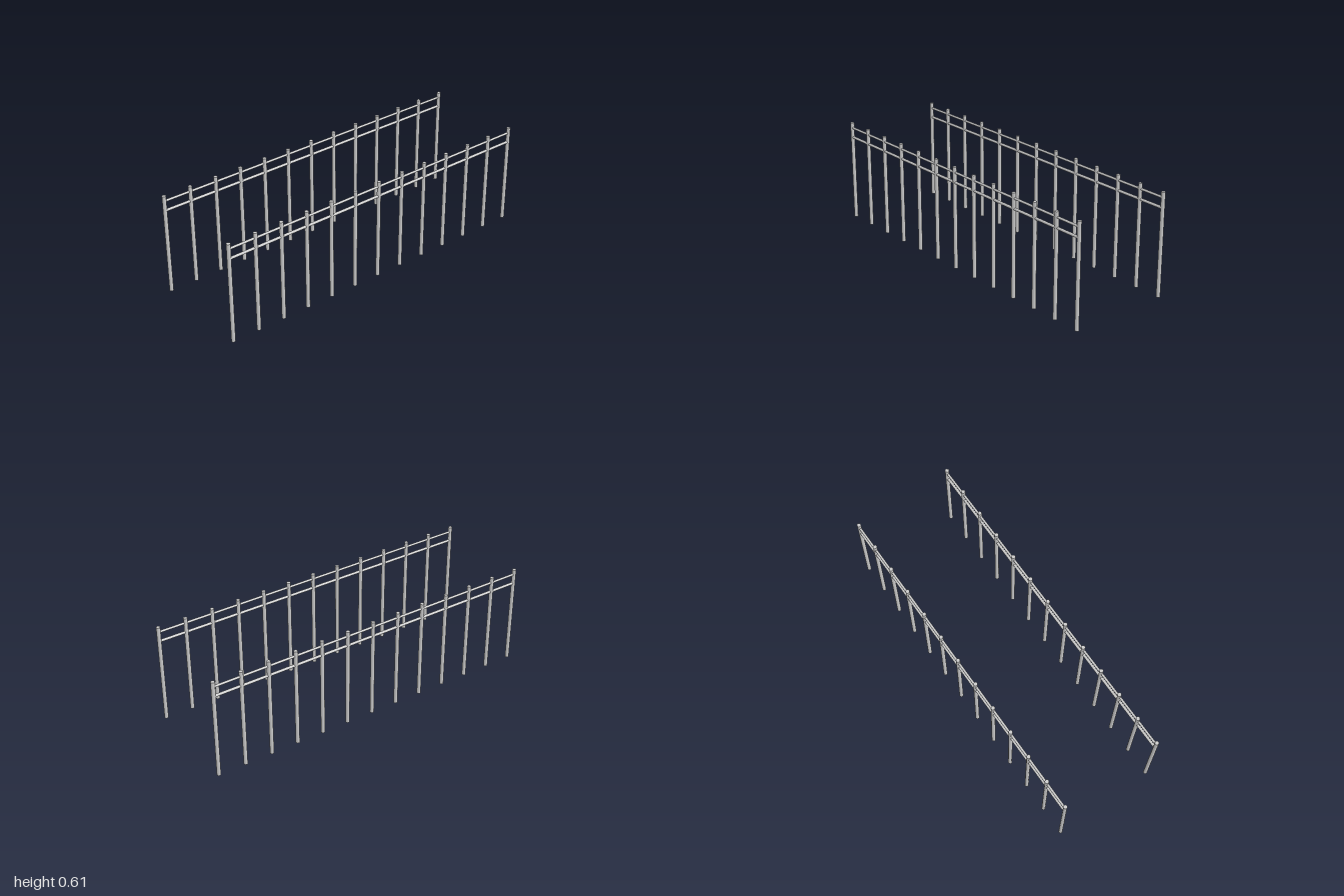
import * as THREE from 'three';

const POSTS = 13, HALF = 0.9885, ROW_Z = 0.3, HEIGHT = 0.607, POST_R = 0.0115;

export function createModel() {
  const model = new THREE.Group();
  const material = new THREE.MeshStandardMaterial({ color: 0xcccccc });

  const postGeometry = new THREE.CylinderGeometry(POST_R, POST_R, HEIGHT, 12);
  postGeometry.translate(0, HEIGHT / 2, 0);

  // Round bar lying along x
  const railGeometry = (radius) =>
    new THREE.CylinderGeometry(radius, radius, HALF * 2, 10).rotateZ(Math.PI / 2);
  const rails = [
    { name: 'upperRail', y: 0.575, geometry: railGeometry(0.007) },
    { name: 'lowerRail', y: 0.516, geometry: railGeometry(0.008) },
  ];

  // Two matching railings, front and back
  for (const side of [1, -1]) {
    const railing = new THREE.Group();
    railing.name = side > 0 ? 'frontRailing' : 'backRailing';
    railing.position.z = side * ROW_Z;

    // Evenly spaced posts
    for (let i = 0; i < POSTS; i++) {
      const post = new THREE.Mesh(postGeometry, material);
      post.name = 'post';
      post.position.x = -HALF + (2 * HALF * i) / (POSTS - 1);
      railing.add(post);
    }

    // Rails running through the posts
    for (const { name, y, geometry } of rails) {
      const rail = new THREE.Mesh(geometry, material);
      rail.name = name;
      rail.position.y = y;
      railing.add(rail);
    }
    model.add(railing);
  }
  return model;
}
